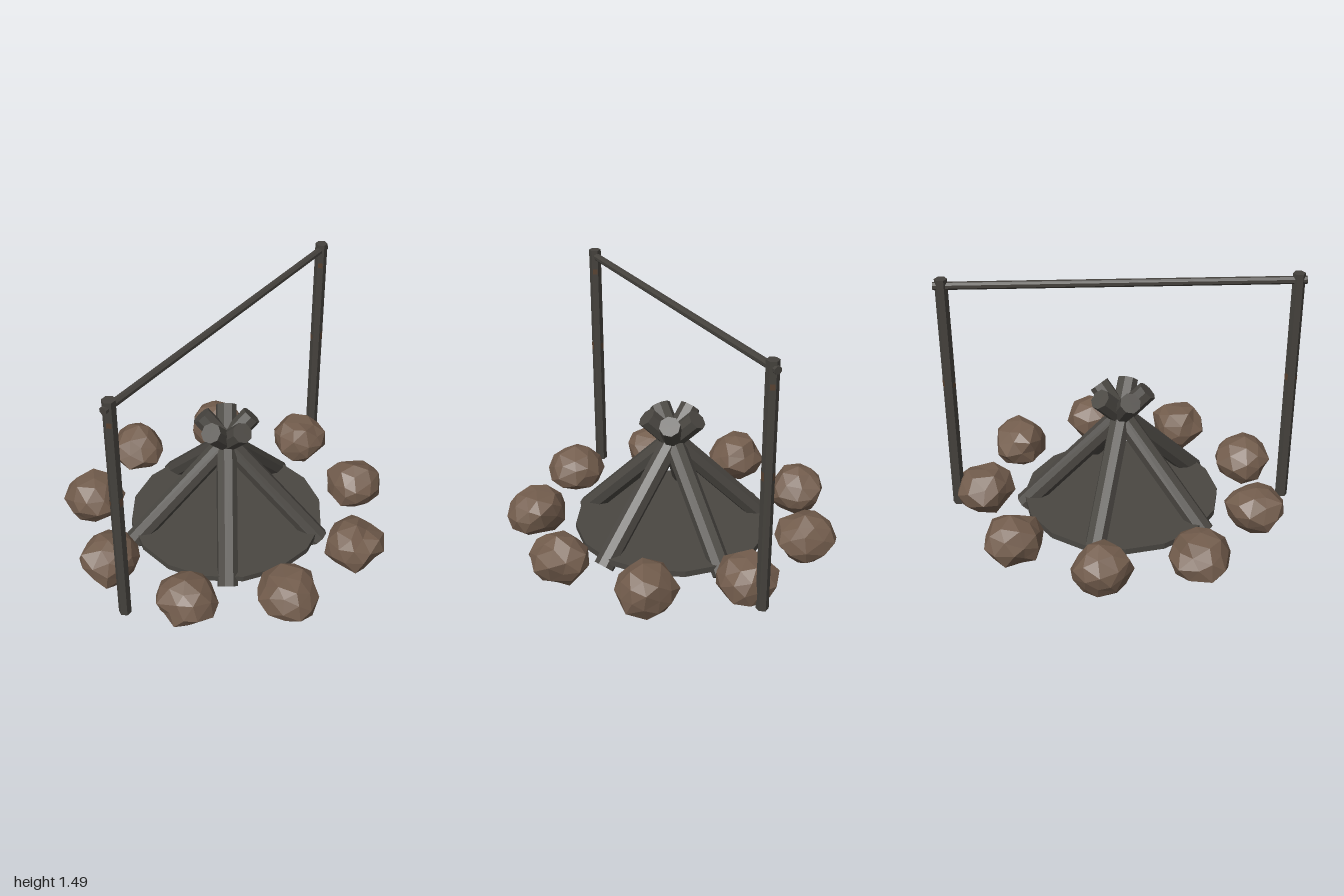
import * as THREE from 'three';

const mat = (name, color) => {
  const m = new THREE.MeshStandardMaterial({ color, flatShading: true });
  m.name = name;
  return m;
};

// Cylinder stretched between two points
function rod(name, a, b, radius, sides, material, twist = 0) {
  const dir = b.clone().sub(a);
  const geo = new THREE.CylinderGeometry(radius, radius, dir.length(), sides);
  geo.rotateY(twist);
  const mesh = new THREE.Mesh(geo, material);
  mesh.name = name;
  mesh.position.copy(a).add(b).multiplyScalar(0.5);
  mesh.quaternion.setFromUnitVectors(new THREE.Vector3(0, 1, 0), dir.normalize());
  return mesh;
}

// Faceted boulder: each corner is moved by a hash of its position, so facets stay joined
function rockGeometry(seed) {
  const geo = new THREE.IcosahedronGeometry(1, 1);
  const pos = geo.attributes.position;
  const v = new THREE.Vector3();
  const noise = (k) => {
    const s = Math.sin(v.x * 12.9 + v.y * 78.2 + v.z * 37.7 + seed * 5.3 + k * 17.1) * 437.5;
    return s - Math.floor(s) - 0.5;
  };
  for (let i = 0; i < pos.count; i++) {
    v.fromBufferAttribute(pos, i);
    v.set(...v.toArray().map((c) => Math.round(c * 1000) / 1000));
    const r = 1 + noise(0) * 0.14;
    pos.setXYZ(i, v.x * r + noise(1) * 0.2, v.y * r + noise(2) * 0.16, v.z * r + noise(3) * 0.2);
  }
  geo.scale(0.166, 0.143, 0.166);
  geo.computeVertexNormals();
  return geo;
}

export function createModel() {
  const group = new THREE.Group();
  group.name = 'campfire';
  const V = (x, y, z) => new THREE.Vector3(x, y, z);
  const charred = mat('charred wood', 0x4a4742);
  const iron = mat('dark iron', 0x45423d);
  const rust = mat('rust', 0x594231);
  const stone = mat('brown stone', 0x735d4d);
  const zc = -0.02;

  // Ash bed
  const ash = new THREE.Mesh(new THREE.CylinderGeometry(0.57, 0.57, 0.035, 16), charred);
  ash.name = 'ashBed';
  ash.position.set(0, 0.098, zc);
  group.add(ash);

  // Five logs leaning together and crossing near the top
  for (let i = 0; i < 5; i++) {
    const a = (i * Math.PI * 2) / 5;
    const c = Math.cos(a), s = Math.sin(a);
    group.add(rod('log', V(0.57 * c, 0.05, 0.57 * s + zc), V(-0.15 * c, 0.79, -0.15 * s + zc), 0.06, 8, charred, Math.PI / 8));
  }

  // Cooking frame: two posts and a crossbar
  for (const side of [-1, 1]) {
    const x = side * 0.955;
    group.add(rod('post', V(x, 0.07, zc), V(x, 1.49, zc), 0.035, 6, iron, Math.PI / 6));
    // Rust flakes lying on single post faces
    for (const [y, h, face] of [[0.87, 0.05, 0], [0.87, 0.04, 2], [0.86, 0.03, 4], [1.36, 0.03, 1], [1.36, 0.03, 5]]) {
      const flake = new THREE.Mesh(
        new THREE.CylinderGeometry(0.036, 0.036, h, 1, 1, true, (face - 0.5) * Math.PI / 3 + 0.15, Math.PI / 3 - 0.3), rust);
      flake.name = 'rustFlake';
      flake.position.set(x, y, zc);
      group.add(flake);
    }
  }
  group.add(rod('crossbar', V(-1, 1.45, zc), V(1, 1.45, zc), 0.022, 8, iron, Math.PI / 8));

  // Ring of stones
  for (let i = 0; i < 9; i++) {
    const a = (i * Math.PI * 2) / 9;
    const rock = new THREE.Mesh(rockGeometry(i + 1), stone);
    rock.name = 'stone';
    rock.position.set(0.8 * Math.cos(a), 0.16, 0.8 * Math.sin(a) + zc);
    rock.rotation.y = i * 1.7;
    group.add(rock);
  }
  return group;
}
